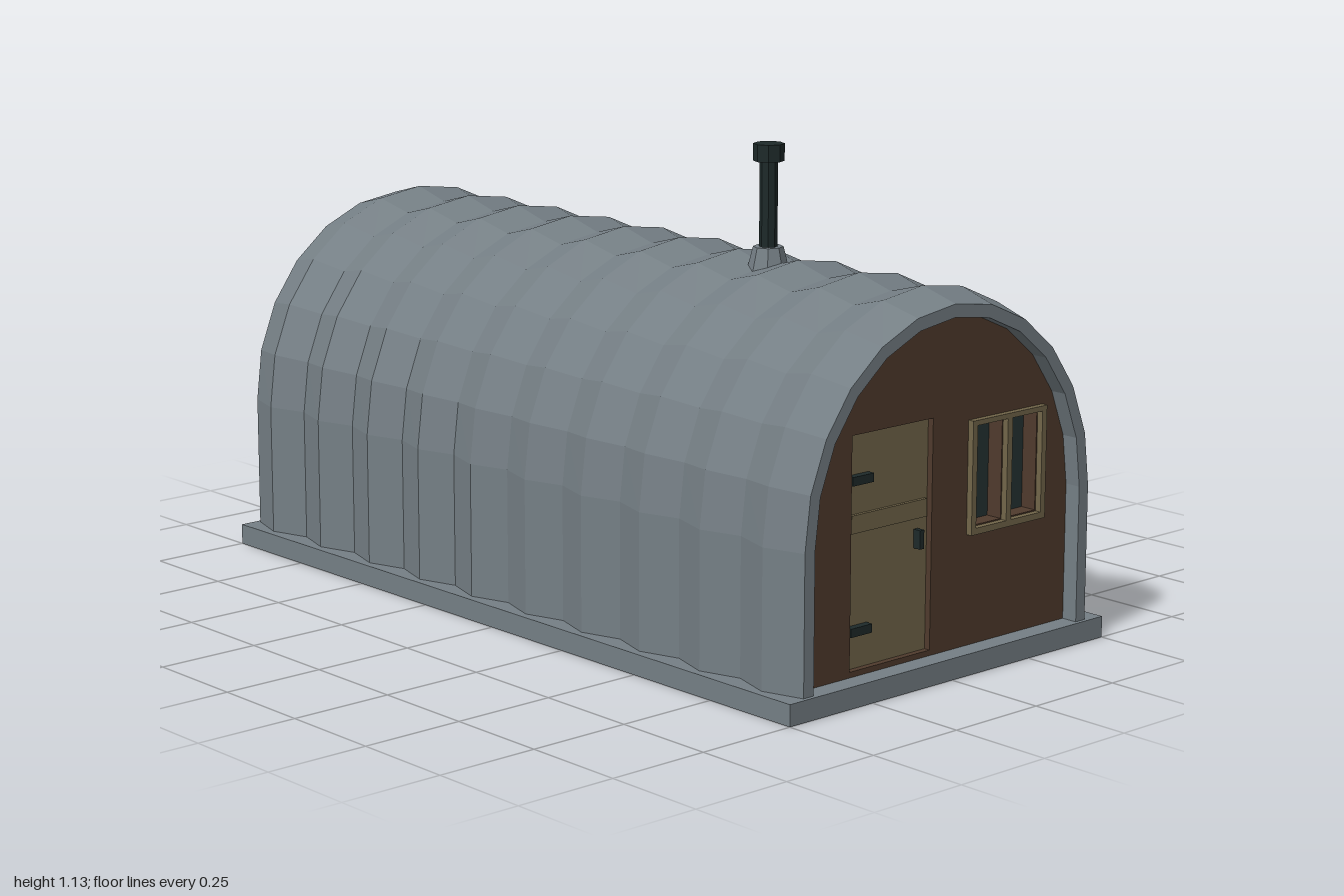
import * as THREE from 'three';

const mat = (name, color, side = THREE.FrontSide) => {
  const m = new THREE.MeshStandardMaterial({ color, flatShading: true, side });
  m.name = name;
  return m;
};

// Arch outline from the right foot over the top to the left foot
const BASE_Y = 0.05, SPRING_Y = 0.37;
function arch(rx, ry) {
  const pts = [[rx, BASE_Y]];
  for (let i = 0; i <= 12; i++) {
    const a = (i * Math.PI) / 12;
    pts.push([rx * Math.cos(a), SPRING_Y + ry * Math.sin(a)]);
  }
  pts.push([-rx, BASE_Y]);
  return pts;
}
const INNER = arch(0.42, 0.45), LOW = arch(0.45, 0.48), HIGH = arch(0.48, 0.507);

// Corrugated shell lofted through arches, with a rolled-in rim at both ends
function shellGeometry() {
  const rows = [[INNER, 0.9], [INNER, 0.99]];
  for (let j = 0; j <= 20; j++) rows.push([j % 2 ? HIGH : LOW, 0.99 - j * 0.099]);
  rows.push([INNER, -0.99], [INNER, -0.9]);
  const n = LOW.length, pos = [], idx = [];
  for (const [pts, z] of rows) for (const [x, y] of pts) pos.push(x, y, z);
  for (let j = 0; j < rows.length - 1; j++) {
    for (let i = 0; i < n - 1; i++) {
      const a = j * n + i, b = a + n;
      idx.push(a, b, a + 1, b, b + 1, a + 1);
    }
  }
  const g = new THREE.BufferGeometry();
  g.setAttribute('position', new THREE.Float32BufferAttribute(pos, 3));
  g.setIndex(idx);
  const flat = g.toNonIndexed();
  flat.computeVertexNormals();
  return flat;
}

function rectPath(x0, x1, y0, y1, Type = THREE.Path) {
  return new Type([[x0, y0], [x1, y0], [x1, y1], [x0, y1]].map(p => new THREE.Vector2(...p)));
}
const extrude = (shape, depth) => new THREE.ExtrudeGeometry(shape, { depth, bevelEnabled: false });

export function createModel() {
  const grey = mat('corrugated grey', 0x757f85, THREE.DoubleSide);
  const brown = mat('dark timber', 0x503b2d);
  const tan = mat('pale timber', 0x72664a);
  const glass = mat('dark glass', 0x253233);
  const iron = mat('black iron', 0x1e2a2a);

  const model = new THREE.Group();
  model.name = 'archedHut';
  const add = (parent, name, geo, material, x = 0, y = 0, z = 0) => {
    const m = new THREE.Mesh(geo, material);
    m.name = name;
    m.position.set(x, y, z);
    parent.add(m);
    return m;
  };
  // Box given by its x, y and z ranges
  const box = (parent, name, material, x0, x1, y0, y1, z0, z1) =>
    add(parent, name, new THREE.BoxGeometry(x1 - x0, y1 - y0, z1 - z0), material,
      (x0 + x1) / 2, (y0 + y1) / 2, (z0 + z1) / 2);

  box(model, 'baseSlab', grey, -0.5, 0.5, 0, BASE_Y, -1, 1);
  add(model, 'roofShell', shellGeometry(), grey);

  // End wall facing +z, pierced for the window panes and an optional door
  const WALL_Z = 0.95;
  function endWall(name, windowX, hasDoor) {
    const g = new THREE.Group();
    g.name = name;
    const wall = new THREE.Shape(INNER.map(p => new THREE.Vector2(...p)));
    const frame = rectPath(windowX - 0.121, windowX + 0.121, 0.308, 0.57, THREE.Shape);
    for (const s of [-1, 1]) {
      const a = windowX + s * 0.008, b = windowX + s * 0.106;
      const x0 = Math.min(a, b), x1 = Math.max(a, b);
      frame.holes.push(rectPath(x0, x1, 0.323, 0.558));
      wall.holes.push(rectPath(x0 + 0.003, x1 - 0.003, 0.326, 0.555));
    }
    if (hasDoor) wall.holes.push(rectPath(-0.272, -0.022, 0.063, 0.592));
    add(g, 'wall', extrude(wall, 0.05), brown, 0, 0, WALL_Z - 0.05);
    add(g, 'windowFrame', extrude(frame, 0.015), tan, 0, 0, WALL_Z);
    box(g, 'windowGlass', glass, windowX - 0.11, windowX + 0.11, 0.32, 0.56, WALL_Z - 0.049, WALL_Z - 0.04);
    if (hasDoor) {
      const z = WALL_Z - 0.015;
      box(g, 'door', tan, -0.272, -0.022, 0.063, 0.592, z - 0.03, z);
      box(g, 'doorRail', tan, -0.264, -0.03, 0.37, 0.411, z, z + 0.008);
      for (const y of [0.151, 0.49]) box(g, 'hinge', iron, -0.272, -0.207, y - 0.01, y + 0.01, z, z + 0.018);
      box(g, 'doorHandle', iron, -0.063, -0.05, 0.302, 0.345, z, z + 0.02);
    }
    model.add(g);
    return g;
  }
  endWall('frontWall', 0.212, true);
  endWall('backWall', -0.142, false).rotation.y = Math.PI;

  // Stove pipe on a flared collar
  const chimney = new THREE.Group();
  chimney.name = 'chimney';
  chimney.position.z = 0.4;
  add(chimney, 'collar', new THREE.CylinderGeometry(0.035, 0.05, 0.06, 8), grey, 0, 0.867, 0);
  add(chimney, 'pipe', new THREE.CylinderGeometry(0.021, 0.021, 0.25, 8), iron, 0, 0.985, 0);
  add(chimney, 'cap', new THREE.CylinderGeometry(0.036, 0.036, 0.04, 8), iron, 0, 1.115, 0);
  model.add(chimney);
  return model;
}
